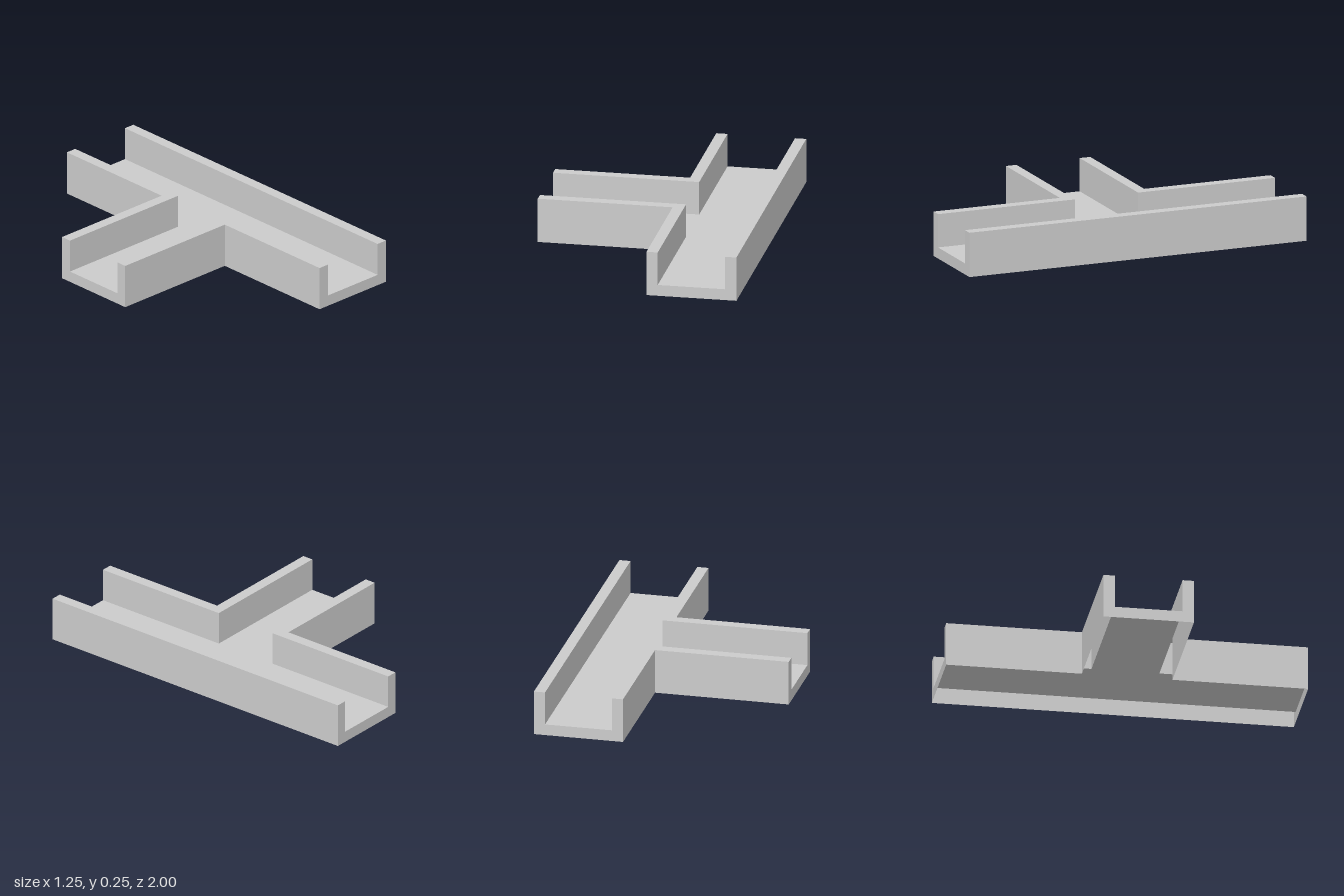
import * as THREE from 'three';
import { mergeGeometries } from 'three/addons/utils/BufferGeometryUtils.js';

const HEIGHT = 0.25; // wall height
const T = 0.0625; // wall thickness and floor level
const X0 = -0.625, X1 = 0.125, X2 = 0.625; // branch end, run inner side, run outer side
const LENGTH = 1, WIDTH = 0.25, INNER = WIDTH - T; // half sizes in z

// Level sheet facing up, outlined by [x, z] corners
function level(corners, y) {
  const shape = new THREE.Shape(corners.map(([x, z]) => new THREE.Vector2(x, -z)));
  return new THREE.ShapeGeometry(shape).rotateX(-Math.PI / 2).translate(0, y, 0);
}

// Upright sheets along a path of [x, z] points, facing right of the direction of travel
function upright(path, y0, y1) {
  return path.slice(1).map(([bx, bz], i) => {
    const [ax, az] = path[i];
    return new THREE.PlaneGeometry(Math.hypot(bx - ax, bz - az), y1 - y0)
      .rotateY(Math.atan2(az - bz, bx - ax))
      .translate((ax + bx) / 2, (y0 + y1) / 2, (az + bz) / 2);
  });
}

// Hollow wall, open underneath: outer side with both ends, inner side above the floor, top
function wall(outer, inner) {
  return [
    ...upright(outer, 0, HEIGHT),
    ...upright(inner, T, HEIGHT),
    level([...outer, ...inner.slice(1, -1)], HEIGHT),
  ];
}

export function createModel() {
  const group = new THREE.Group();
  group.name = 'teeChannel';
  const material = new THREE.MeshStandardMaterial({ color: 0xcccccc, side: THREE.DoubleSide });
  const add = (name, sheets) => {
    const mesh = new THREE.Mesh(mergeGeometries(sheets), material);
    mesh.name = name;
    group.add(mesh);
  };

  // T-shaped floor with a low edge at each of the three open ends
  const runLeft = X1 + T, runRight = X2 - T;
  add('floor', [
    level([
      [X0, -INNER], [X0, INNER], [runLeft, INNER], [runLeft, LENGTH],
      [runRight, LENGTH], [runRight, -LENGTH], [runLeft, -LENGTH], [runLeft, -INNER],
    ], T),
    ...upright([[runLeft, LENGTH], [runRight, LENGTH]], 0, T),
    ...upright([[runRight, -LENGTH], [runLeft, -LENGTH]], 0, T),
    ...upright([[X0, -INNER], [X0, INNER]], 0, T),
  ]);

  // Straight wall along the long run
  add('straightWall', wall(
    [[runRight, LENGTH], [X2, LENGTH], [X2, -LENGTH], [runRight, -LENGTH]],
    [[runRight, -LENGTH], [runRight, LENGTH]],
  ));

  // Corner walls turning from the run into the branch, the back one mirrored
  const outer = [[X0, INNER], [X0, WIDTH], [X1, WIDTH], [X1, LENGTH], [runLeft, LENGTH]];
  const inner = [[runLeft, LENGTH], [runLeft, INNER], [X0, INNER]];
  const mirror = (path) => path.map(([x, z]) => [x, -z]).reverse();
  add('frontCornerWall', wall(outer, inner));
  add('backCornerWall', wall(mirror(outer), mirror(inner)));
  return group;
}
